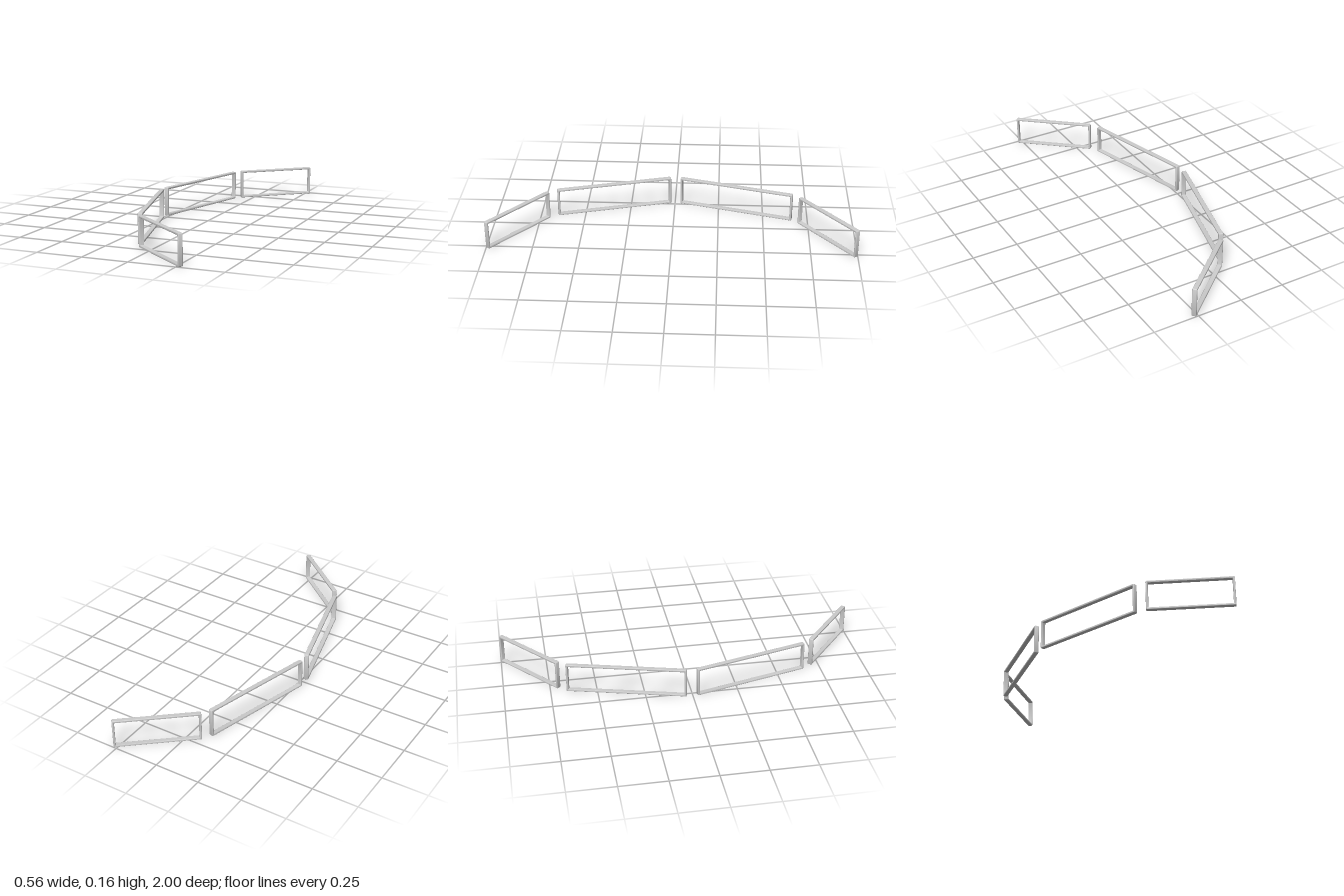
import * as THREE from 'three';
import { toCreasedNormals } from 'three/addons/utils/BufferGeometryUtils.js';

const HEIGHT = 0.164, DEPTH = 0.026, RAIL = 0.0125, BEVEL = 0.005;

// Traces a centred rectangle with softly rounded corners
function traceRect(path, w, h, r) {
  const x = w / 2, y = h / 2;
  path.moveTo(-x + r, -y);
  path.lineTo(x - r, -y);
  path.quadraticCurveTo(x, -y, x, -y + r);
  path.lineTo(x, y - r);
  path.quadraticCurveTo(x, y, x - r, y);
  path.lineTo(-x + r, y);
  path.quadraticCurveTo(-x, y, -x, y - r);
  path.lineTo(-x, -y + r);
  path.quadraticCurveTo(-x, -y, -x + r, -y);
  return path;
}

// Open rectangular frame with rounded rails
function frameGeometry(width) {
  const shape = traceRect(new THREE.Shape(), width - 2 * BEVEL, HEIGHT - 2 * BEVEL, 0.002);
  const inset = 2 * (RAIL - BEVEL);
  shape.holes.push(traceRect(new THREE.Path(), width - inset, HEIGHT - inset, 0.006));
  const geometry = new THREE.ExtrudeGeometry(shape, {
    depth: DEPTH - 2 * BEVEL, bevelThickness: BEVEL, bevelSize: BEVEL,
    bevelSegments: 4, curveSegments: 4,
  });
  geometry.translate(0, 0, -DEPTH / 2 + BEVEL);
  return toCreasedNormals(geometry, 0.7);
}

export function createModel() {
  const model = new THREE.Group();
  model.name = 'curvedFrameRow';
  const material = new THREE.MeshStandardMaterial({ color: 0xcccccc });
  const inner = frameGeometry(0.652), outer = frameGeometry(0.452);

  // Four frames standing in an arc, bowed towards -x
  const frames = [
    ['frontOuterFrame', outer, 0.1, 0.847, -40],
    ['frontInnerFrame', inner, -0.185, 0.339, -75],
    ['backInnerFrame', inner, -0.185, -0.347, 75],
    ['backOuterFrame', outer, 0.1, -0.847, 40],
  ];
  for (const [name, geometry, x, z, degrees] of frames) {
    const frame = new THREE.Mesh(geometry, material);
    frame.name = name;
    frame.position.set(x, HEIGHT / 2, z);
    frame.rotation.y = THREE.MathUtils.degToRad(degrees);
    model.add(frame);
  }
  return model;
}
